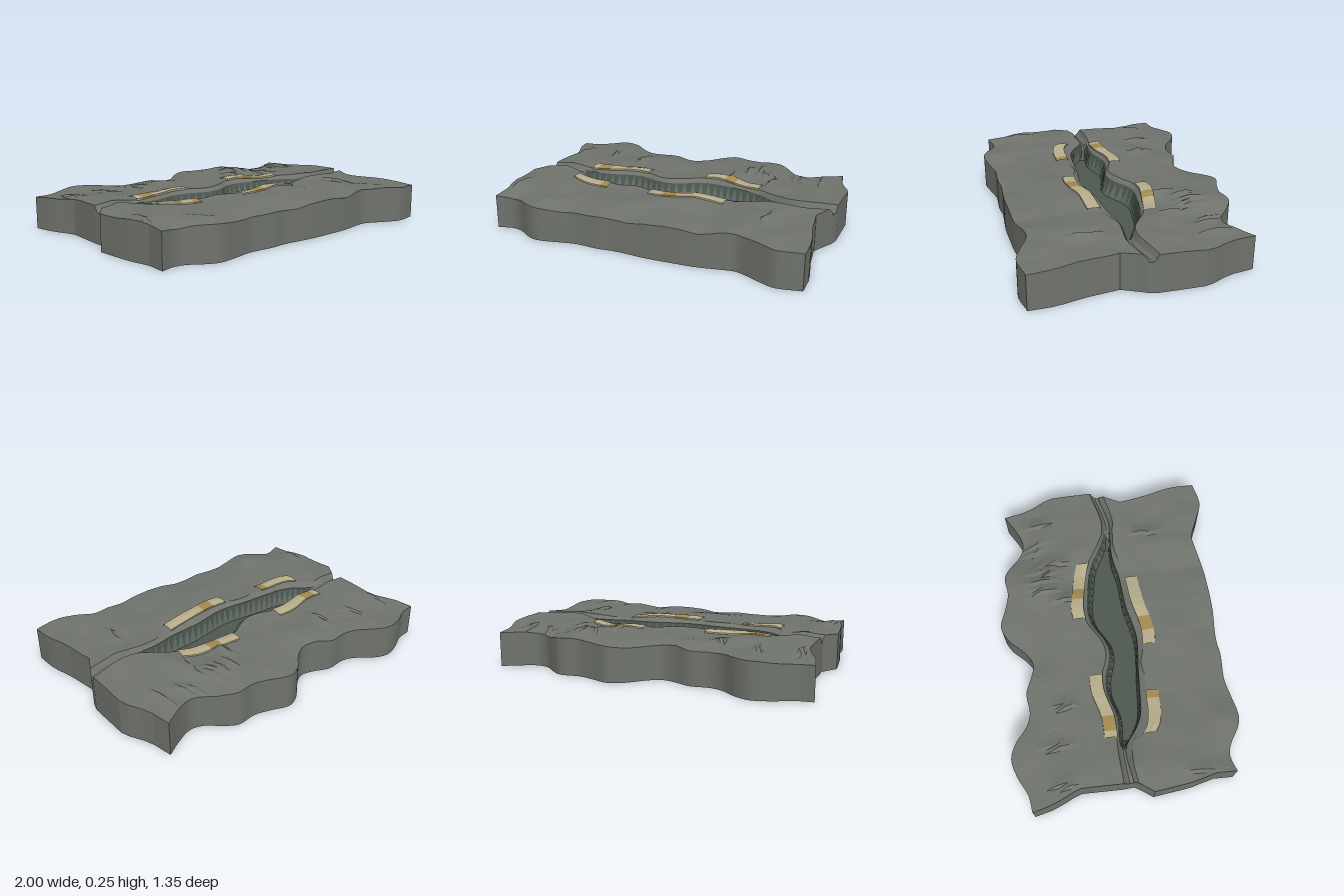
import * as THREE from 'three';

// Piecewise interpolation through [position, value] pairs
function profile(points, smooth = true) {
  const n = points.length;
  return (p) => {
    if (p <= points[0][0]) return points[0][1];
    if (p >= points[n - 1][0]) return points[n - 1][1];
    let i = 0;
    while (p > points[i + 1][0]) i++;
    const [a, va] = points[i], [b, vb] = points[i + 1];
    const t = (p - a) / (b - a);
    if (!smooth) return va + (vb - va) * t;
    const slope = (k) => {
      const q = points[Math.max(k - 1, 0)], r = points[Math.min(k + 1, n - 1)];
      return (r[1] - q[1]) / (r[0] - q[0]) * (b - a);
    };
    const t2 = t * t, t3 = t2 * t;
    return va * (2 * t3 - 3 * t2 + 1) + slope(i) * (t3 - 2 * t2 + t)
      + vb * (3 * t2 - 2 * t3) + slope(i + 1) * (t3 - t2);
  };
}

// Outline of the slab: z of the long edges, x of the short edges
const backEdge = profile([[-1, -0.585], [-0.9, -0.60], [-0.8, -0.65], [-0.69, -0.68], [-0.6, -0.65], [-0.5, -0.575],
  [-0.42, -0.55], [-0.3, -0.56], [-0.2, -0.52], [-0.12, -0.505], [-0.04, -0.55], [0.05, -0.64], [0.14, -0.68],
  [0.25, -0.645], [0.35, -0.62], [0.47, -0.63], [0.55, -0.58], [0.62, -0.52], [0.7, -0.5], [0.8, -0.54], [0.9, -0.6]]);
const frontEdge = profile([[-0.91, 0.61], [-0.82, 0.585], [-0.75, 0.6], [-0.65, 0.66], [-0.58, 0.675], [-0.45, 0.65],
  [-0.35, 0.63], [-0.2, 0.635], [-0.1, 0.625], [0.1, 0.635], [0.25, 0.63], [0.4, 0.62], [0.55, 0.59], [0.62, 0.585],
  [0.75, 0.64], [0.85, 0.675], [0.99, 0.65]]);
const leftEdge = profile([[-0.585, -1], [-0.46, -0.97], [-0.31, -0.9], [-0.05, -0.905], [0.02, -0.9], [0.12, -0.97],
  [0.34, -0.945], [0.5, -0.905], [0.61, -0.91]], false);
const rightEdge = profile([[-0.6, 0.9], [-0.45, 0.925], [-0.31, 1], [-0.03, 1], [0.04, 0.98], [0.12, 0.915],
  [0.35, 0.95], [0.5, 0.99], [0.65, 0.995]], false);

// Fissure: rims, floor edges and depth along x
const backRim = profile([[-0.9, -0.05], [-0.7, -0.06], [-0.6, -0.055], [-0.5, -0.06], [-0.35, -0.1], [-0.25, -0.1],
  [-0.15, -0.065], [-0.08, -0.06], [0, -0.09], [0.1, -0.15], [0.2, -0.165], [0.3, -0.15], [0.4, -0.13], [0.5, -0.1],
  [0.6, -0.04], [0.7, 0.01], [0.8, 0.015], [0.98, -0.03]]);
const frontRim = profile([[-0.9, 0.035], [-0.8, 0.02], [-0.7, 0.03], [-0.65, 0.08], [-0.6, 0.125], [-0.5, 0.15],
  [-0.4, 0.15], [-0.3, 0.16], [-0.2, 0.145], [-0.1, 0.17], [0, 0.18], [0.1, 0.165], [0.2, 0.14], [0.4, 0.12],
  [0.6, 0.075], [0.7, 0.08], [0.8, 0.09], [0.98, 0.05]]);
const floorBack = profile([[-0.9, -0.015], [-0.68, -0.03], [-0.5, -0.015], [-0.35, -0.055], [-0.25, -0.05], [-0.1, -0.01],
  [0, -0.03], [0.1, -0.09], [0.2, -0.11], [0.4, -0.08], [0.5, -0.055], [0.6, 0], [0.7, 0.04], [0.8, 0.045], [0.98, 0]]);
const floorFront = profile([[-0.9, 0.01], [-0.68, -0.015], [-0.6, 0.04], [-0.5, 0.09], [-0.3, 0.11], [-0.1, 0.13], [0, 0.13],
  [0.1, 0.11], [0.2, 0.09], [0.4, 0.075], [0.5, 0.055], [0.6, 0.05], [0.7, 0.06], [0.8, 0.065], [0.98, 0.02]]);
const floorY = profile([[-0.7, 0.178], [-0.64, 0.09], [0.64, 0.09], [0.72, 0.178]], false);

// Lattice noise for the rock relief
const hash = (i, j) => { const s = Math.sin(i * 127.1 + j * 311.7) * 43758.5453; return s - Math.floor(s); };
const mix = THREE.MathUtils.lerp;
function noise(x, z) {
  const i = Math.floor(x), j = Math.floor(z), f = x - i, g = z - j;
  return mix(mix(hash(i, j), hash(i + 1, j), f), mix(hash(i, j + 1), hash(i + 1, j + 1), f), g);
}

// Small faults, steep on one side: [x, z start, z end]
const faults = [[0.26, -0.36, -0.17], [0.34, -0.5, -0.28], [0.4, -0.5, -0.28], [0.46, -0.5, -0.28], [0.52, -0.4, -0.17],
  [0.62, -0.52, -0.36], [0.68, -0.5, -0.32], [0.8, -0.48, -0.3], [-0.42, -0.45, -0.25], [-0.88, -0.5, -0.28],
  [-0.65, -0.5, -0.3], [0.67, 0.16, 0.4], [-0.89, 0.3, 0.5]];
function relief(x, z) {
  let y = 0.192 + 0.034 * noise(x * 5 + 20, z * 5 + 20) + 0.014 * noise(x * 9 + z * 2 + 40, z * 7 + 40);
  for (const [fx, z0, z1] of faults)
    if (x > fx && x < fx + 0.08 && z > z0 && z < z1)
      y += 0.02 * (1 - (x - fx) / 0.08) * Math.sin(Math.PI * (z - z0) / (z1 - z0));
  return y;
}

// A row is a depth line and a height rule; columns run from left to right
const COLS = 84;
function makeRow(depth, height) {
  return Array.from({ length: COLS + 1 }, (_, c) => {
    const u = c / COLS;
    let x = mix(-0.95, 0.95, u), z = 0;
    for (let k = 0; k < 5; k++) {
      z = depth(x);
      x = mix(leftEdge(z), rightEdge(z), u);
    }
    return new THREE.Vector3(x, height(x, z), z);
  });
}

// Surface through equally long rows
function loft(rows) {
  const n = rows[0].length, index = [];
  for (let r = 0; r < rows.length - 1; r++)
    for (let c = 0; c < n - 1; c++) {
      const a = r * n + c, b = a + n;
      index.push(a, b, a + 1, b, b + 1, a + 1);
    }
  const g = new THREE.BufferGeometry().setFromPoints(rows.flat());
  g.setIndex(index);
  g.computeVertexNormals();
  return g;
}

export function createModel() {
  const model = new THREE.Group();
  const material = (color) => new THREE.MeshStandardMaterial({ color, flatShading: true, side: THREE.DoubleSide });
  const rock = material(0x70746d), dark = material(0x4e5952), pale = material(0x66726a);
  const tan = material(0xb8ae8c), gold = material(0xa38a52);
  const add = (name, geometry, mat) => {
    const mesh = new THREE.Mesh(geometry, mat);
    mesh.name = name;
    model.add(mesh);
  };

  // Ground on both sides of the fissure
  const steps = [0, 0.15, 0.25, 0.35, 0.45, 0.55, 0.68, 0.8, 1];
  const ground = (rim, edge) => steps.map((t) => makeRow(
    (x) => mix(rim(x), edge(x), t), (x, z) => relief(x, z) - 0.012 * t ** 4));
  const back = ground(backRim, backEdge).reverse();
  const front = ground(frontRim, frontEdge);
  add('backGround', loft(back), rock);
  add('frontGround', loft(front), rock);

  // Ledges along the fissure
  const ledge = (rim, floor, t) => makeRow((x) => mix(rim(x), floor(x), t), () => 0.196);
  const backLedge = ledge(backRim, floorBack, 0.45), frontLedge = ledge(frontRim, floorFront, 0.8);
  const backFoot = makeRow(floorBack, floorY), frontFoot = makeRow(floorFront, floorY);
  add('backLedge', loft([back[back.length - 1], backLedge]), rock);
  add('frontLedge', loft([frontLedge, front[0]]), rock);

  // Walls and floor: a deep dark middle with a shallow channel at each end
  for (const [name, from, to, mat] of [['leftChannel', 0, 10, rock], ['fissure', 10, 72, dark], ['rightChannel', 72, COLS, rock]])
    add(name, loft([backLedge, backFoot, frontFoot, frontLedge].map((r) => r.slice(from, to + 1))), mat);

  // Pale teeth standing against both walls
  for (const [foot, top, sign] of [[backFoot, backLedge, 1], [frontFoot, frontLedge, -1]]) {
    const corners = [];
    for (let c = 12; c < 70; c += 2) {
      const tri = [foot[c], foot[c + 2], top[c + 1]];
      if (sign < 0) tri.reverse();
      for (const p of tri) corners.push(new THREE.Vector3(p.x, p.y + 0.001, p.z + 0.004 * sign));
    }
    const teeth = new THREE.BufferGeometry().setFromPoints(corners);
    teeth.computeVertexNormals();
    add('wallTeeth', teeth, pale);
  }

  // Outer sides and underside share one perimeter
  const rows = [...back, backLedge, backFoot, frontFoot, frontLedge, ...front];
  const last = rows.length - 1;
  const rim = [...rows[last], ...rows.slice(0, last).reverse().map((r) => r[COLS]),
    ...rows[0].slice(0, COLS).reverse(), ...rows.slice(1).map((r) => r[0])];
  const base = rim.map((p) => new THREE.Vector3(p.x, 0, p.z));
  add('outerSides', loft([rim, base]), rock);
  const outline = new THREE.Shape(base.slice(0, -1).map((p) => new THREE.Vector2(p.x, p.z)));
  add('underside', new THREE.ShapeGeometry(outline).rotateX(Math.PI / 2), rock);

  // Pale mineral crust along the rims: [start, end, rim, outward sign, material]
  const crusts = [
    [-0.63, -0.59, backRim, -1, tan], [-0.59, -0.5, backRim, -1, gold], [-0.5, -0.24, backRim, -1, tan],
    [0.13, 0.26, backRim, -1, tan], [0.26, 0.33, backRim, -1, gold], [0.33, 0.5, backRim, -1, tan],
    [-0.63, -0.42, frontRim, 1, tan], [-0.42, -0.37, frontRim, 1, gold],
    [-0.08, 0.01, frontRim, 1, tan], [0.01, 0.1, frontRim, 1, gold], [0.1, 0.38, frontRim, 1, tan],
  ];
  for (const [x0, x1, edge, sign, mat] of crusts) {
    const n = Math.max(2, Math.round((x1 - x0) / 0.04));
    const line = (offset, lift) => Array.from({ length: n + 1 }, (_, i) => {
      const x = mix(x0, x1, i / n), z = edge(x) + sign * offset;
      return new THREE.Vector3(x, relief(x, z) + lift, z);
    });
    const section = [line(-0.002, -0.01), line(-0.004, 0.008), line(0.035, 0.012), line(0.072, 0.008), line(0.074, -0.01)];
    add('mineralCrust', loft(sign > 0 ? section : section.reverse()), mat);
  }
  return model;
}
